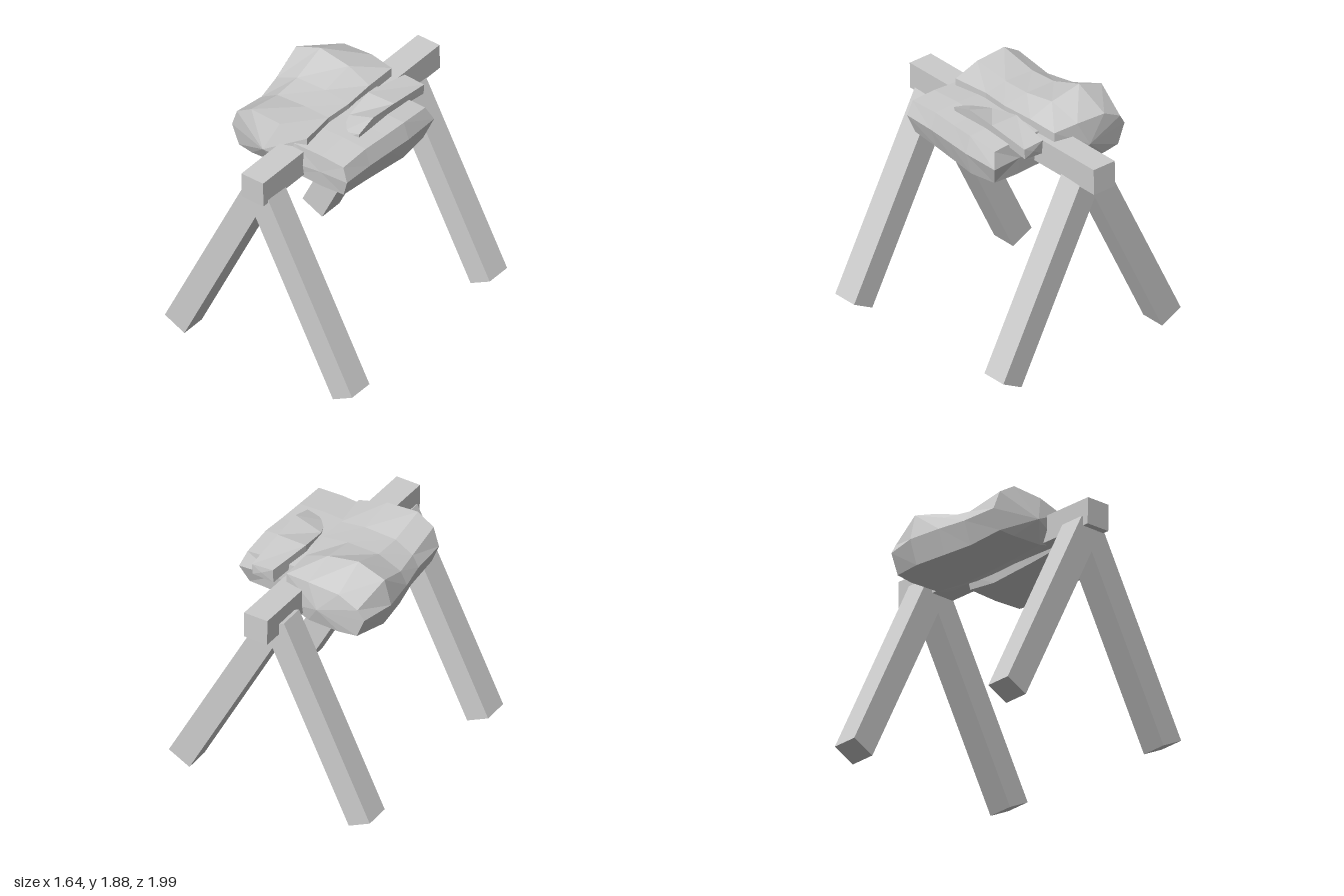
import * as THREE from 'three';

const material = new THREE.MeshStandardMaterial({ color: 0xcccccc, flatShading: true, side: THREE.DoubleSide });

function addMesh(parent, geometry, name) {
  const mesh = new THREE.Mesh(geometry, material);
  mesh.name = name;
  parent.add(mesh);
  return mesh;
}

// Faceted solid through cross-sections ordered front to back, each clockwise seen from the front.
function loft(rings, frontTip, backTip) {
  const pos = [];
  const tri = (...pts) => pts.forEach((p) => pos.push(...p));
  const n = rings[0].length;
  for (let j = 0; j < n; j++) {
    const k = (j + 1) % n;
    for (let i = 0; i < rings.length - 1; i++) {
      const [a, b, c, d] = [rings[i][j], rings[i][k], rings[i + 1][k], rings[i + 1][j]];
      tri(a, b, c);
      tri(a, c, d);
    }
    const last = rings[rings.length - 1];
    tri(frontTip, rings[0][k], rings[0][j]);
    tri(backTip, last[j], last[k]);
  }
  const g = new THREE.BufferGeometry();
  g.setAttribute('position', new THREE.Float32BufferAttribute(pos, 3));
  g.computeVertexNormals();
  return g;
}

// Square post between two points in the xy plane.
function addLeg(parent, from, to, z, name) {
  const a = new THREE.Vector2(...from), b = new THREE.Vector2(...to);
  const d = b.clone().sub(a);
  const leg = addMesh(parent, new THREE.BoxGeometry(0.19, d.length(), 0.2), name);
  leg.position.set((a.x + b.x) / 2, (a.y + b.y) / 2, z);
  leg.rotation.z = Math.atan2(-d.x, d.y);
}

export function createModel() {
  const model = new THREE.Group();

  // Slightly skewed beam
  const beam = addMesh(model, new THREE.BoxGeometry(0.192, 0.2, 1.985), 'beam');
  beam.position.set(0.002, 1.59, 0);
  beam.rotation.set(0.02, -0.016, 0);

  // Two splayed leg pairs, the rear one set a little higher
  for (const [z, lift, end] of [[0.84, 0, 'front'], [-0.74, 0.07, 'back']]) {
    const pair = new THREE.Group();
    pair.name = end + 'Legs';
    pair.position.y = lift;
    addLeg(pair, [-0.735, 0.047], [-0.035, 1.5], z, end + 'RightLeg');
    addLeg(pair, [0.735, 0.065], [0.0, 1.45], z, end + 'LeftLeg');
    model.add(pair);
  }

  // Large sagging bundle: [z, outer x, crown height, underside, inner x]
  const large = [
    [0.51, -0.56, 1.83, 1.45, 0.09],
    [0.22, -0.57, 1.775, 1.43, 0.06],
    [0, -0.61, 1.79, 1.42, 0.075],
    [-0.26, -0.64, 1.89, 1.42, 0.06],
    [-0.52, -0.58, 1.77, 1.45, 0.06],
  ].map(([z, out, top, low, inner]) => [
    [out, 1.61, z],
    [out + 0.05, top - 0.08, z * 1.02],
    [-0.38, top, z * 1.03],
    [-0.13, top * 0.5 + 0.9, z * 1.03],
    [inner, 1.77, z * 0.98],
    [inner, 1.52, z * 0.98],
    [-0.13, low + 0.01, z * 1.02],
    [-0.38, low, z * 1.02],
    [out + 0.06, low + 0.01, z],
  ]);
  addMesh(model, loft(large, [-0.22, 1.6, 0.605], [-0.22, 1.6, -0.57]), 'largeBundle');

  // Smaller bundle: [z, outer x, crown height, underside]
  const small = [
    [0.55, 0.485, 1.71, 1.45],
    [0.3, 0.49, 1.725, 1.43],
    [0.09, 0.505, 1.725, 1.42],
    [-0.1, 0.52, 1.73, 1.41],
    [-0.35, 0.515, 1.71, 1.44],
  ].map(([z, out, top, low]) => [
    [-0.02, 1.55, z],
    [0, top, z * 0.97],
    [0.25, top + 0.01, z * 0.99],
    [out - 0.04, top, z],
    [out, 1.6, z < -0.3 ? -0.4 : z * 1.02],
    [out - 0.05, low + 0.01, z * 0.97],
    [0.25, low, z * 0.97],
    [0, low + 0.01, z * 0.97],
  ]);
  addMesh(model, loft(small, [0.24, 1.58, 0.55], [0.25, 1.58, -0.36]), 'smallBundle');

  // Loose folded flap: [z, inner x, inner height, outer height, underside]
  const flap = [
    [0.23, 0.19, 1.72, 1.76, 1.68],
    [0.07, 0.13, 1.74, 1.81, 1.7],
    [-0.17, 0.11, 1.785, 1.79, 1.7],
    [-0.515, 0.17, 1.76, 1.75, 1.65],
  ].map(([z, inner, hIn, hOut, low]) => [
    [inner, low, z + 0.01],
    [inner, hIn, z],
    [0.34, hOut, z],
    [0.335, low + 0.02, z],
  ]);
  addMesh(model, loft(flap, [0.26, 1.72, 0.235], [0.26, 1.71, -0.52]), 'foldedFlap');

  return model;
}
